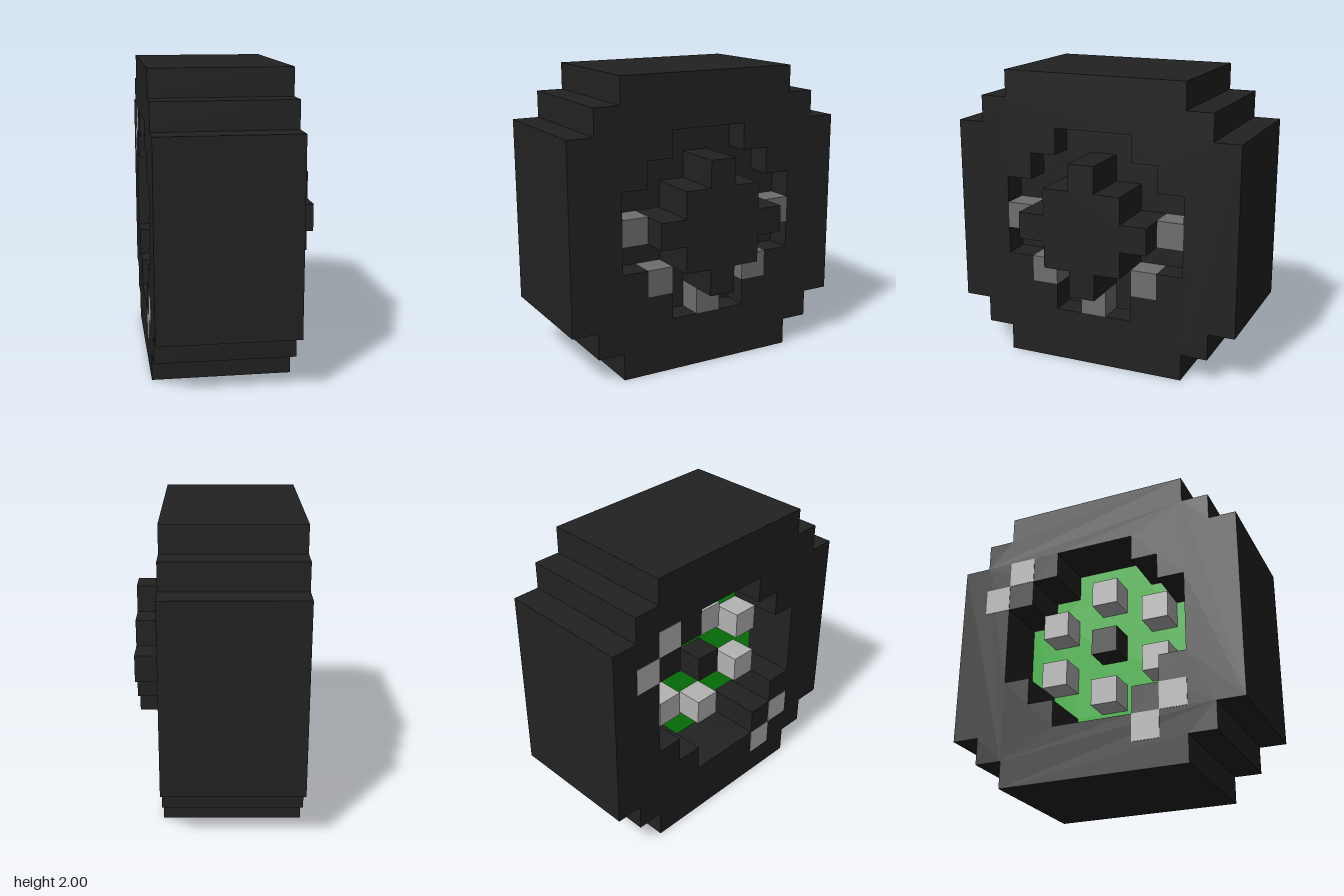
import * as THREE from 'three';

const U = 2 / 11;                 // one block
const X0 = -3 * U;                // outer end of the tyre on the -x side

const material = (name, color) => {
  const m = new THREE.MeshStandardMaterial({ color });
  m.name = name;
  return m;
};

// Stepped round outline from row widths (in blocks, bottom to top), centred on the axle
function steppedPoints(widths) {
  const right = [], left = [];
  widths.forEach((w, r) => {
    for (const y of [r, r + 1]) {
      const py = (y - widths.length / 2) * U;
      right.push(new THREE.Vector2(w / 2 * U, py));
      left.unshift(new THREE.Vector2(-w / 2 * U, py));
    }
  });
  // drop points that lie on a straight run
  const all = [...right, ...left];
  return all.filter((p, i) => {
    const a = all[(i + all.length - 1) % all.length], b = all[(i + 1) % all.length];
    return Math.abs((p.x - a.x) * (b.y - p.y) - (p.y - a.y) * (b.x - p.x)) > 1e-9;
  });
}

export function createModel() {
  const group = new THREE.Group();
  const black = material('black rubber', 0x222222);
  const grey = material('dark grey metal', 0x6e6e6e);
  const silver = material('light grey metal', 0xb4b4b4);
  const green = material('green plate', 0x0eae12);

  // Stepped disc spanning block columns i0..i1 along x
  function disc(name, mat, widths, i0, i1, holeWidths) {
    const shape = new THREE.Shape(steppedPoints(widths));
    if (holeWidths) shape.holes.push(new THREE.Path(steppedPoints(holeWidths).reverse()));
    const geo = new THREE.ExtrudeGeometry(shape, { depth: (i1 - i0) * U, bevelEnabled: false });
    geo.rotateY(Math.PI / 2);
    const mesh = new THREE.Mesh(geo, mat);
    mesh.name = name;
    mesh.position.set(X0 + i0 * U, 1, 0);
    group.add(mesh);
  }

  // Block at row j, column k (counted from the axle), spanning x0..x1
  function block(name, mat, j, k, x0, x1) {
    const mesh = new THREE.Mesh(new THREE.BoxGeometry(x1 - x0, U, U), mat);
    mesh.name = name;
    mesh.position.set((x0 + x1) / 2, 1 + j * U, k * U);
    group.add(mesh);
  }

  const opening = [3, 5, 7, 7, 7, 5, 3];

  // Tyre ring and the wheel disc inside it
  disc('tyre', black, [7, 9, 11, 11, 11, 11, 11, 11, 11, 9, 7], 0, 5, opening);
  disc('innerPlate', green, opening, 2, 3);
  disc('wheelDisc', black, opening, 3, 4);
  disc('hub', black, [1, 3, 5, 3, 1], 4, 6);

  // Metal blocks around the hub
  for (const [j, k] of [[0, 3], [0, -3], [-2, 2], [-2, -2], [-3, 0]])
    block('rimBlock', grey, j, k, X0 + 4 * U, X0 + 5 * U);

  // Axle cap and nuts on the inner side
  block('axleCap', black, 0, 0, X0 + U, X0 + 2 * U);
  for (const [j, k] of [[2, 0], [-2, 0], [1, 2], [-1, 2], [1, -2], [-1, -2]])
    block('wheelNut', silver, j, k, X0 + U, X0 + 2 * U);

  // Pale marks on the tyre's inner side
  for (const [j, k] of [[3, -3], [2, -4], [-3, 3], [-4, 2]])
    block('tyreMark', silver, j, k, X0 - 0.003, X0 + 0.003);

  return group;
}
